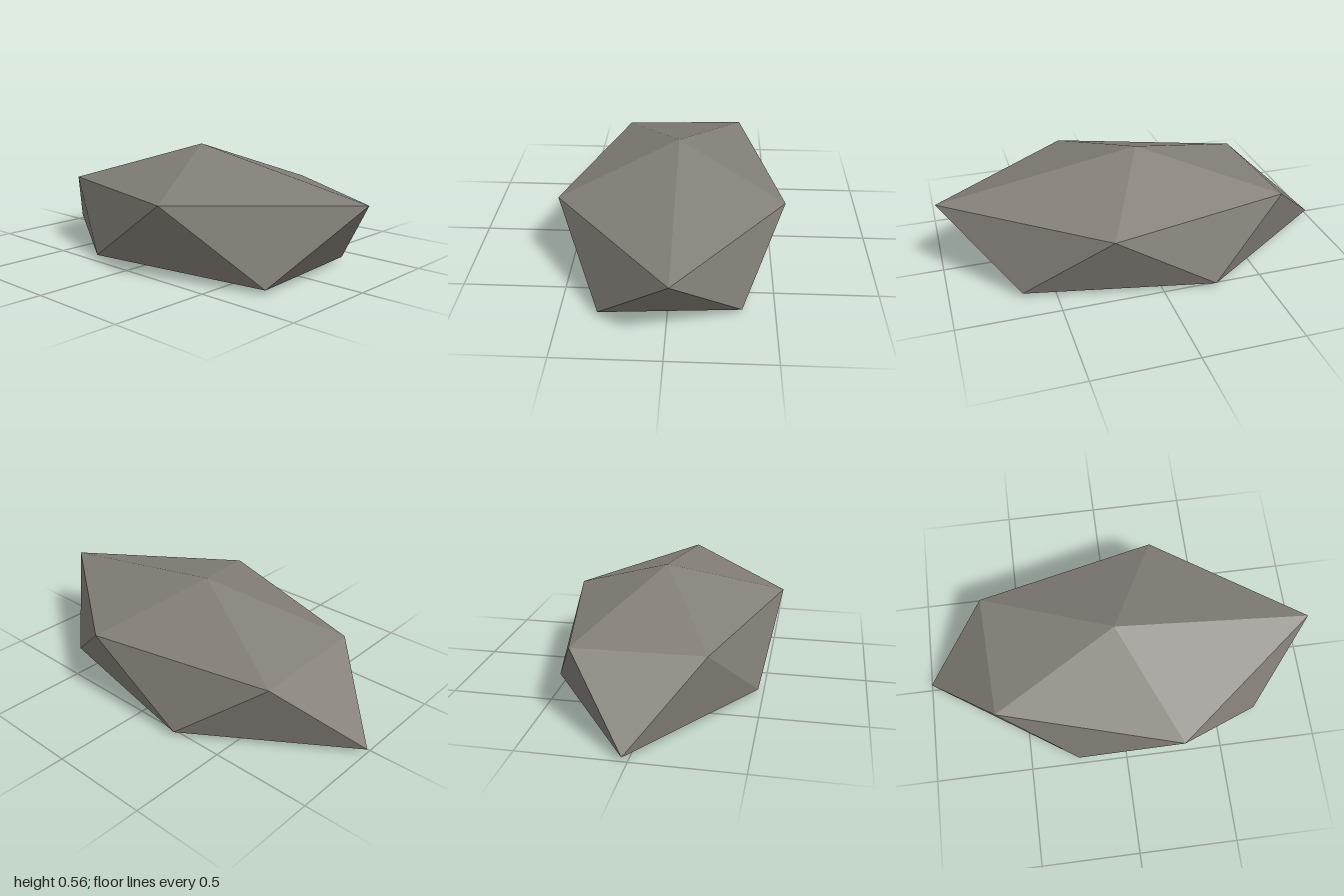
import * as THREE from 'three';

export function createModel() {
  const group = new THREE.Group();
  group.name = 'boulder';
  const stone = new THREE.MeshStandardMaterial({ color: 0x827e77, flatShading: true });
  stone.name = 'warm grey stone';

  // Squashed twenty-sided rock: two poles and two staggered rings of five corners
  const top = [0, 0.56, -0.025];
  const bottom = [0, 0, -0.025];
  const upper = [[1, 0.39, -0.025], [0.275, 0.37, 0.55], [-0.635, 0.345, 0.28], [-0.665, 0.35, -0.345], [0.255, 0.355, -0.55]];
  const lower = [[0.71, 0.022, 0.32], [-0.25, 0.022, 0.475], [-1, 0.02, -0.025], [-0.255, 0.022, -0.535], [0.66, 0.022, -0.345]];

  const corners = [];
  for (let i = 0; i < 5; i++) {
    const j = (i + 1) % 5;
    corners.push(top, upper[j], upper[i]); // cap
    corners.push(upper[i], upper[j], lower[i]); // side, pointing down
    corners.push(upper[j], lower[j], lower[i]); // side, pointing up
    corners.push(bottom, lower[i], lower[j]); // underside
  }
  const geometry = new THREE.BufferGeometry();
  geometry.setAttribute('position', new THREE.Float32BufferAttribute(corners.flat(), 3));
  geometry.computeVertexNormals();

  const rock = new THREE.Mesh(geometry, stone);
  rock.name = 'rock';
  group.add(rock);
  return group;
}
